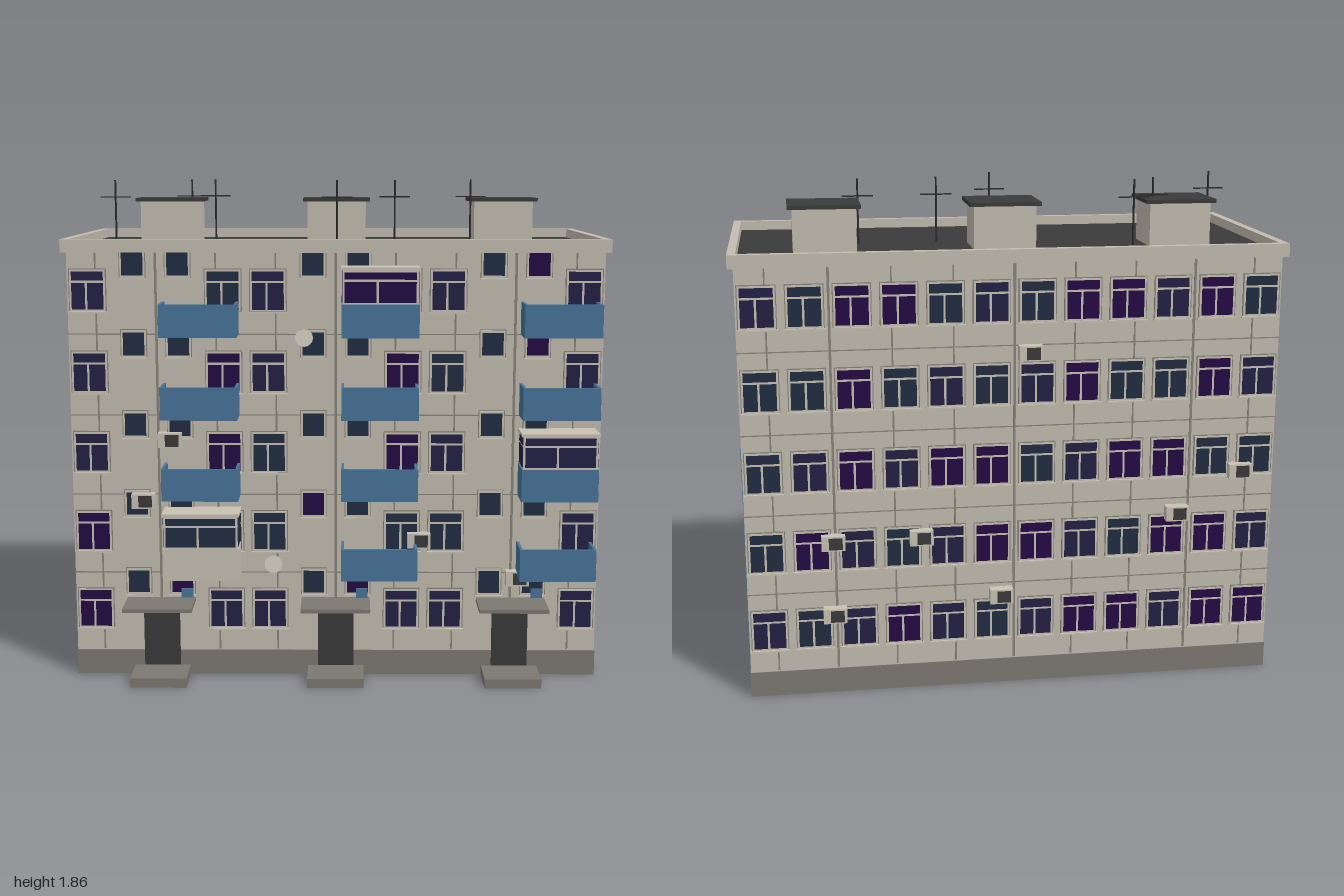
import * as THREE from 'three';

const mat = (name, color) => Object.assign(new THREE.MeshStandardMaterial({ color }), { name });
const M = {
  wall: mat('concrete wall', 0xc2bcb0),
  frame: mat('window frame', 0xc8c2b4),
  base: mat('grey concrete', 0x7c7872),
  dark: mat('dark roofing', 0x3a3a3a),
  blue: mat('blue panel', 0x47749a),
  seam: mat('panel seam', 0x88847a),
  metal: mat('antenna metal', 0x2c2c2e),
  s: mat('slate glass', 0x212d42),
  n: mat('navy glass', 0x232044),
  p: mat('purple glass', 0x240a44),
};

const FRONT = 0.4, BACK = -0.52, MID = -0.06, HALF = 0.98, FLOOR = 0.3;
const colX = i => -0.905 + 0.1645 * i;
const entrances = [-0.657, 0, 0.657];

function box(parent, name, material, w, h, d, x, y, z) {
  const m = new THREE.Mesh(new THREE.BoxGeometry(w, h, d), material);
  m.name = name;
  m.position.set(x, y, z);
  parent.add(m);
  return m;
}

function group(parent, name, x = 0, y = 0, z = 0, ry = 0) {
  const g = new THREE.Group();
  g.name = name;
  g.position.set(x, y, z);
  g.rotation.y = ry;
  parent.add(g);
  return g;
}

// Three panes: a transom light over two casements, facing +z
function panes(g, w, h, glass, z) {
  const top = h * 0.24, bar = 0.008, low = h - top - bar, left = w * 0.46;
  box(g, 'transomPane', glass, w, top, 0.003, 0, h / 2 - top / 2, z);
  box(g, 'leftPane', glass, left - bar / 2, low, 0.003, -w / 2 + left / 2 - bar / 4, -h / 2 + low / 2, z);
  box(g, 'rightPane', glass, w - left - bar / 2, low, 0.003, left / 2 + bar / 4, -h / 2 + low / 2, z);
}

function bigWindow(parent, x, y, z, ry, glass) {
  const g = group(parent, 'window', x, y, z, ry);
  box(g, 'windowSurround', M.seam, 0.137, 0.16, 0.006, 0, 0, 0.002);
  box(g, 'windowFrame', M.frame, 0.13, 0.153, 0.008, 0, 0, 0.003);
  panes(g, 0.116, 0.139, glass, 0.007);
  box(g, 'windowSill', M.frame, 0.142, 0.006, 0.014, 0, -0.08, 0.006);
}

function smallWindow(parent, x, y, z, glass) {
  const g = group(parent, 'stairWindow', x, y, z);
  box(g, 'windowSurround', M.seam, 0.097, 0.108, 0.006, 0, 0, 0.002);
  box(g, 'windowFrame', M.frame, 0.091, 0.102, 0.008, 0, 0, 0.003);
  box(g, 'pane', glass, 0.078, 0.084, 0.003, 0, 0, 0.007);
  box(g, 'windowSill', M.frame, 0.102, 0.006, 0.014, 0, -0.054, 0.006);
}

function airConditioner(parent, x, y, z, ry) {
  const g = group(parent, 'airConditioner', x, y, z, ry);
  box(g, 'unitCase', M.frame, 0.086, 0.055, 0.04, 0, 0, 0.02);
  box(g, 'unitGrille', M.dark, 0.05, 0.044, 0.003, 0.008, 0, 0.041);
}

function balcony(parent, x, y, skin, glass) {
  const w = 0.28, d = 0.125, h = 0.12, t = 0.01;
  const g = group(parent, 'balcony', x, y, FRONT);
  box(g, 'balconyFloor', M.base, w - 0.004, 0.012, d - 0.004, 0, 0.007, d / 2);
  box(g, 'balconyFront', skin, w, h, t, 0, h / 2, d - t / 2);
  for (const s of [-1, 1]) box(g, 'balconySide', skin, t, h, d - t, s * (w - t) / 2, h / 2, (d - t) / 2);
  if (!glass) return;
  // Glazed enclosure with a slab on top
  const gh = 0.122;
  box(g, 'enclosure', M.frame, w - 0.008, gh, d - 0.004, 0, h + gh / 2, (d - 0.004) / 2);
  box(g, 'enclosureRoof', M.frame, w + 0.004, 0.01, d + 0.002, 0, h + gh + 0.005, (d + 0.002) / 2);
  panes(group(g, 'frontGlazing', 0, h + gh / 2, d - 0.004), w - 0.024, gh - 0.014, glass, 0.001);
  for (const s of [-1, 1])
    panes(group(g, 'sideGlazing', s * (w / 2 - 0.004), h + gh / 2, d / 2, s * Math.PI / 2), d - 0.022, gh - 0.014, glass, 0.001);
}

function antenna(parent, x, z) {
  const g = group(parent, 'antenna', x, 1.6, z);
  const pole = new THREE.Mesh(new THREE.CylinderGeometry(0.004, 0.004, 0.255, 6), M.metal);
  pole.name = 'antennaPole';
  pole.position.y = 0.1275;
  g.add(pole);
  box(g, 'antennaBar', M.metal, 0.118, 0.005, 0.005, 0, 0.19, 0);
}

function dish(parent, x, y) {
  const g = group(parent, 'satelliteDish', x, y, FRONT);
  const m = new THREE.Mesh(new THREE.CylinderGeometry(0.033, 0.024, 0.01, 16), M.frame);
  m.name = 'dishBowl';
  m.rotation.x = Math.PI / 2 - 0.25;
  m.position.z = 0.034;
  g.add(m);
  box(g, 'dishBracket', M.metal, 0.006, 0.006, 0.03, 0, -0.005, 0.015);
}

export function createModel() {
  const root = new THREE.Group();
  root.name = 'apartmentBlock';
  const depth = FRONT - BACK;

  // Main body, plinth and roof
  box(root, 'plinth', M.base, 1.964, 0.095, depth + 0.004, 0, 0.0475, MID);
  box(root, 'walls', M.wall, 1.96, 1.505, depth, 0, 0.8475, MID);
  box(root, 'roof', M.dark, 1.94, 0.012, 0.9, 0, 1.605, MID);
  for (const s of [-1, 1]) {
    box(root, 'longParapet', M.wall, 2, 0.048, 0.03, 0, 1.622, MID + s * 0.46);
    box(root, 'shortParapet', M.wall, 0.03, 0.048, 0.89, s * 0.985, 1.622, MID);
  }

  // Panel seams
  const seams = group(root, 'panelSeams');
  for (let i = -4; i <= 4; i++)
    for (const z of [FRONT, BACK]) box(seams, 'verticalSeam', M.seam, i % 3 ? 0.006 : 0.009, 1.5, 0.004, i * 0.219, 0.85, z);
  for (let f = 1; f < 5; f++) box(seams, 'floorSeam', M.seam, 1.964, 0.004, depth + 0.004, 0, 0.1 + f * FLOOR, MID);

  // Front windows, one string per floor from the ground up
  const front = ['pspnnspnnssn', 'psssspsssssn', 'nsspssspnssn', 'nsspnsspsspn', 'nsssnssnnspn'];
  const back = ['nsnpnsnppnpp', 'spnsnppnsppn', 'snpnppsnppss', 'sspsnsnpsspn', 'nsppsnsppnps'];
  for (let f = 0; f < 5; f++)
    for (let i = 0; i < 12; i++) {
      if (i % 4 === 1 || i % 4 === 2) smallWindow(root, colX(i), 0.365 + f * FLOOR - (f === 4 ? 0.008 : 0), FRONT, M[front[f][i]]);
      else bigWindow(root, colX(i), 0.26 + f * FLOOR, FRONT, 0, M[front[f][i]]);
      bigWindow(root, -colX(i), 0.26 + f * FLOOR, BACK, Math.PI, M[back[f][i]]);
    }

  // Balconies: some glazed, one with a plain front
  const glazed = { '0,1': 's', '1,4': 'p', '2,2': 'n' };
  for (let s = 0; s < 3; s++)
    for (let f = 1; f < 5; f++) {
      const key = `${s},${f}`;
      balcony(root, -0.495 + s * 0.656, 0.1 + f * FLOOR, key === '0,1' ? M.frame : M.blue, M[glazed[key]]);
    }

  // Entrances and roof stair heads
  entrances.forEach(x => {
    const e = group(root, 'entrance', x, 0, FRONT);
    box(e, 'step', M.base, 0.21, 0.035, 0.157, 0, 0.0175, 0.0785);
    box(e, 'door', M.dark, 0.135, 0.235, 0.01, 0, 0.155, 0.005);
    box(e, 'canopy', M.base, 0.256, 0.014, 0.157, 0, 0.295, 0.0785);
    box(e, 'numberPlate', M.blue, 0.044, 0.036, 0.006, 0.098, 0.322, 0.012);
    const h = group(root, 'stairHead', x, 0, -0.188);
    box(h, 'stairHeadWalls', M.wall, 0.23, 0.165, 0.21, 0, 1.6875, 0);
    box(h, 'stairHeadRoof', M.dark, 0.264, 0.014, 0.24, 0, 1.777, 0);
  });

  // Blue bar pattern on both end walls
  for (const s of [-1, 1]) {
    const g = group(root, 'endWallPattern', s * (HALF + 0.004), 0, MID);
    box(g, 'patternBase', M.blue, 0.009, 0.055, 0.645, 0, 0.145, 0);
    [[0.237, 1.118], [0, 1.437], [-0.237, 0.9]].forEach(([z, top]) =>
      box(g, 'patternBar', M.blue, 0.009, top - 0.17, 0.098, 0, (top + 0.17) / 2, z));
  }

  // Wall and roof equipment
  [[-0.612, 0.91], [-0.715, 0.68], [0.31, 0.53], [0.68, 0.385]].forEach(([x, y]) => airConditioner(root, x, y, FRONT, 0));
  [[-0.055, 1.275], [0.665, 0.595], [0.345, 0.6], [-0.845, 0.803], [0.665, 0.315], [0.05, 0.357], [-0.61, 0.648]]
    .forEach(([x, y]) => airConditioner(root, x, y, BACK, Math.PI));
  dish(root, -0.115, 1.29);
  dish(root, -0.232, 0.44);
  [[-0.853, 0.025], [-0.578, -0.183], [-0.49, -0.248], [0.003, 0.11], [0.228, -0.046], [0.525, -0.067]]
    .forEach(([x, z]) => antenna(root, x, z));
  return root;
}
